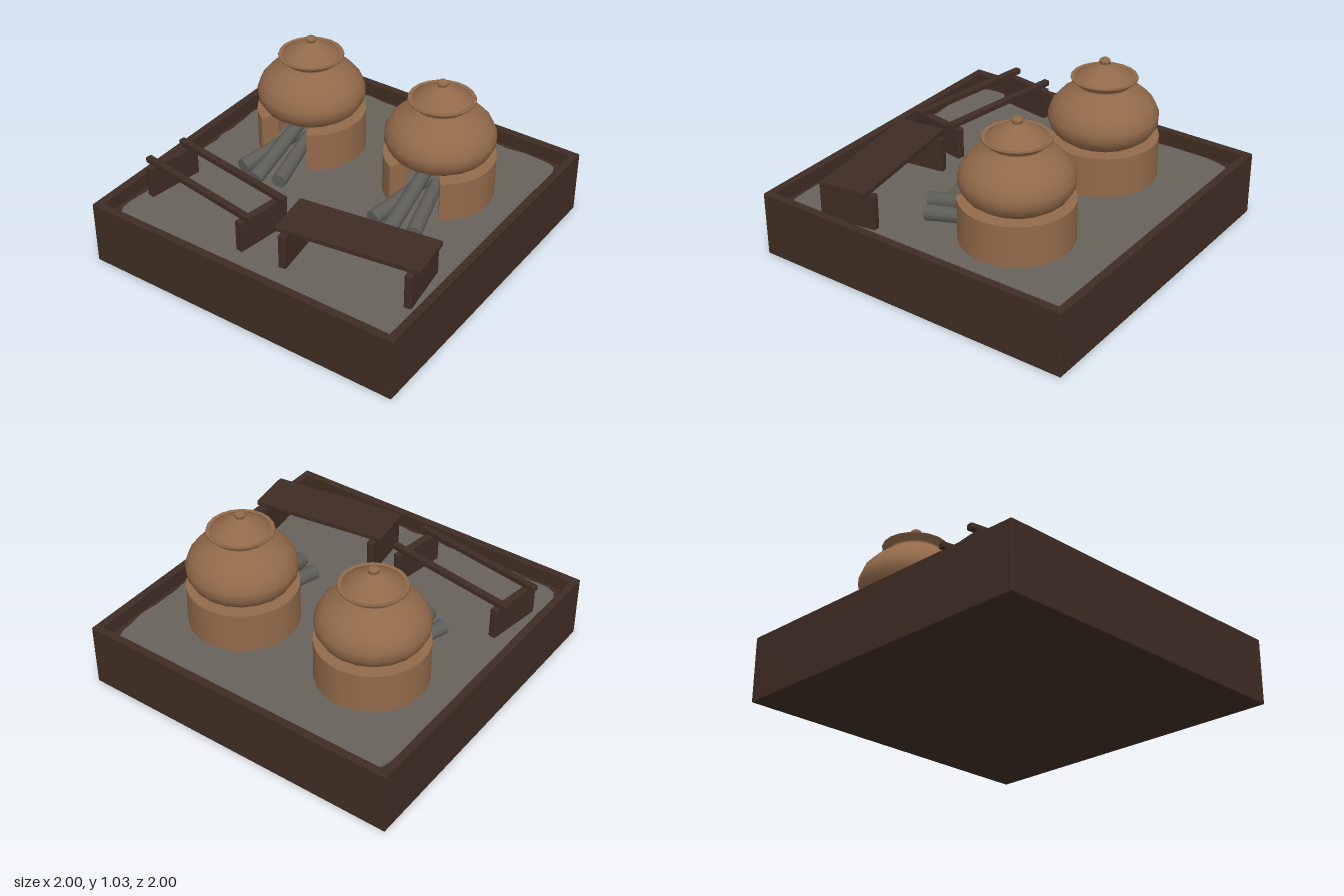
import * as THREE from 'three';
import { RoundedBoxGeometry } from 'three/addons/geometries/RoundedBoxGeometry.js';

const material = (name, color, side = THREE.FrontSide) => {
  const m = new THREE.MeshStandardMaterial({ color, side });
  m.name = name;
  return m;
};

export function createModel() {
  const wood = material('dark wood', 0x3f2d23);
  const ash = material('grey ash', 0x67635b);
  const clay = material('baked clay', 0x926a4a, THREE.DoubleSide);
  const charred = material('charred firewood', 0x5f5e59);

  const model = new THREE.Group();
  model.name = 'hearth';

  const add = (parent, name, geometry, mat, x = 0, y = 0, z = 0) => {
    const mesh = new THREE.Mesh(geometry, mat);
    mesh.name = name;
    mesh.position.set(x, y, z);
    parent.add(mesh);
    return mesh;
  };
  const group = (name, x, z, turn) => {
    const g = new THREE.Group();
    g.name = name;
    g.position.set(x, 0, z);
    g.rotation.y = turn;
    model.add(g);
    return g;
  };
  const beam = (w, h, d) => new RoundedBoxGeometry(w, h, d, 1, 0.006);

  // Hearth box: base slab and four rim walls
  const FLOOR = 0.315, WALL = 0.047, RIM = 0.39;
  add(model, 'hearthBase', new THREE.BoxGeometry(1.98, 0.3, 1.98), wood, 0, 0.15, 0);
  for (const s of [-1, 1]) {
    add(model, 'sideWall', beam(WALL, RIM, 2), wood, s * (1 - WALL / 2), RIM / 2, 0);
    add(model, 'endWall', beam(2, RIM, WALL), wood, 0, RIM / 2, s * (1 - WALL / 2));
  }

  // Ash bed with a ragged, rounded-square outline
  const outline = [];
  for (let i = 0; i < 160; i++) {
    const a = (i / 160) * Math.PI * 2, c = Math.cos(a), s = Math.sin(a);
    const r = 0.918 / Math.pow(Math.abs(c) ** 24 + Math.abs(s) ** 24, 1 / 24);
    const k = 1 + 0.005 * Math.sin(a * 23) + 0.004 * Math.sin(a * 41 + 1) + 0.003 * Math.sin(a * 9 + 2);
    outline.push(new THREE.Vector2(c * r * k, s * r * k));
  }
  const ashGeometry = new THREE.ExtrudeGeometry(new THREE.Shape(outline), { depth: 0.02, bevelEnabled: false });
  ashGeometry.rotateX(-Math.PI / 2);
  add(model, 'ashBed', ashGeometry, ash, 0, FLOOR - 0.02, 0);

  // Horseshoe stove, open toward the front
  const horseshoe = new THREE.Shape();
  const open = -Math.PI / 2, half = Math.PI / 6;
  horseshoe.absarc(0, 0, 0.322, open + half, open - half + Math.PI * 2, false);
  horseshoe.absarc(0, 0, 0.22, open - half + Math.PI * 2, open + half, true);
  const stoveGeometry = new THREE.ExtrudeGeometry(horseshoe, { depth: 0.56 - FLOOR + 0.01, bevelEnabled: false, curveSegments: 28 });
  stoveGeometry.rotateX(-Math.PI / 2);

  // Pot and lid profiles
  const lathe = (points) => new THREE.LatheGeometry(points.map(([r, y]) => new THREE.Vector2(r, y)), 20);
  const potGeometry = lathe([
    [0, 0.5], [0.14, 0.51], [0.225, 0.55], [0.285, 0.595], [0.317, 0.65], [0.318, 0.7],
    [0.295, 0.755], [0.255, 0.8], [0.195, 0.847], [0.155, 0.875], [0.158, 0.89],
    [0.193, 0.916], [0.19, 0.922], [0.172, 0.917], [0.14, 0.9],
  ]);
  const lidGeometry = lathe([[0.16, 0.905], [0.17, 0.92], [0.12, 0.95], [0.06, 0.988], [0.03, 1.0]]);
  const knobGeometry = lathe([[0.025, 0.99], [0.022, 1.002], [0.031, 1.01], [0.031, 1.022], [0.022, 1.03], [0, 1.031]]);

  // Firewood laid between two points
  const log = (parent, from, to, radius) => {
    const a = new THREE.Vector3(...from), b = new THREE.Vector3(...to);
    const dir = b.clone().sub(a);
    const mesh = add(parent, 'firewood', new THREE.CylinderGeometry(radius, radius * 0.85, dir.length(), 9), charred);
    mesh.position.copy(a).add(b).multiplyScalar(0.5);
    mesh.quaternion.setFromUnitVectors(new THREE.Vector3(0, 1, 0), dir.normalize());
  };

  for (const [x, z, turn] of [[-0.437, -0.315, 0], [0.44, -0.335, 0.04]]) {
    const g = group('stoveWithPot', x, z, turn);
    add(g, 'stove', stoveGeometry, clay, 0, FLOOR - 0.01, 0);
    add(g, 'pot', potGeometry, clay);
    add(g, 'lid', lidGeometry, clay);
    add(g, 'lidKnob', knobGeometry, clay);
    log(g, [-0.04, 0.4, 0.08], [-0.13, 0.36, 0.51], 0.046);
    log(g, [0.03, 0.4, 0.08], [0.13, 0.36, 0.51], 0.046);
    log(g, [-0.045, 0.45, 0.08], [0.003, 0.36, 0.57], 0.048);
  }

  // Two plank legs shared by the rack and the bench
  const legs = (parent, top) => {
    const bottom = FLOOR - 0.01;
    for (const s of [-1, 1])
      add(parent, 'leg', beam(0.045, top - bottom, 0.35), wood, s * 0.367, (top + bottom) / 2, 0);
  };

  // Open rack with two rails
  const rack = group('rack', -0.47, 0.557, -0.152);
  legs(rack, 0.505);
  for (const s of [-1, 1]) add(rack, 'rail', beam(0.85, 0.035, 0.04), wood, 0, 0.521, s * 0.124);

  // Bench with a solid seat
  const bench = group('bench', 0.487, 0.548, 0.143);
  legs(bench, 0.524);
  add(bench, 'seat', beam(0.845, 0.033, 0.285), wood, 0, 0.539, 0);

  return model;
}
